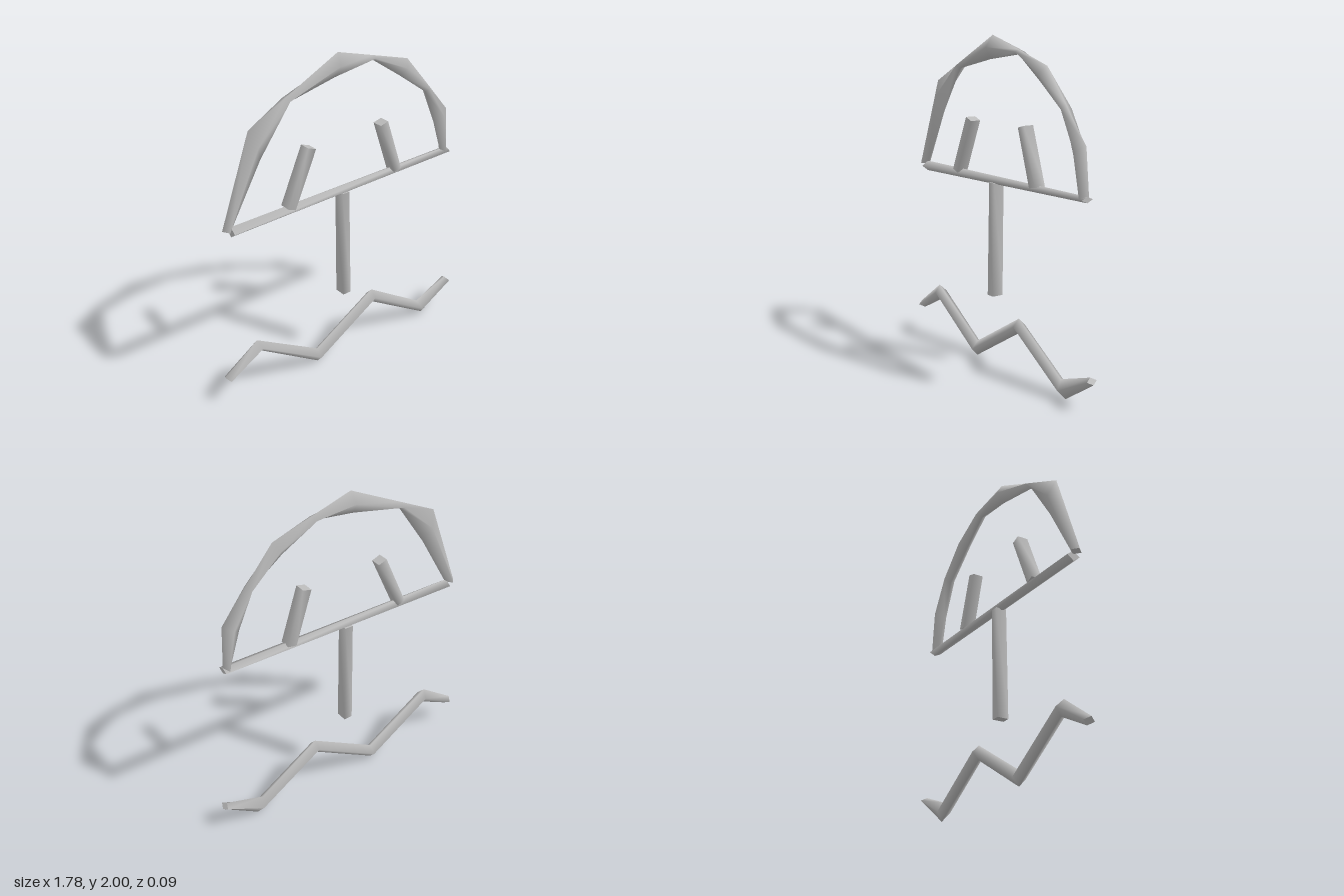
import * as THREE from 'three';

// Four-sided bar swept through stations [leftX, leftY, rightX, rightY, zFront, zBack],
// where left and right are seen along the direction of travel.
// box = false gives a diamond section, box = true a rectangular one.
function bar(stations, box = false) {
  const pos = [], index = [];
  const rings = stations.map(([ox, oy, ix, iy, zf = 0.043, zb = -zf]) => {
    const mx = (ox + ix) / 2, my = (oy + iy) / 2;
    return box
      ? [[ox, oy, zf], [ix, iy, zf], [ix, iy, zb], [ox, oy, zb]]
      : [[ox, oy, 0], [mx, my, zf], [ix, iy, 0], [mx, my, zb]];
  });
  rings.forEach(r => r.forEach(p => pos.push(...p)));
  for (let i = 0; i < rings.length - 1; i++) {
    for (let j = 0; j < 4; j++) {
      const a = i * 4 + j, b = i * 4 + (j + 1) % 4;
      index.push(a, b, a + 4, b, b + 4, a + 4);
    }
  }
  // separate corners keep the end caps flat
  const s = pos.length / 3, e = s + 4;
  [rings[0], rings[rings.length - 1]].forEach(r => r.forEach(p => pos.push(...p)));
  index.push(s, s + 2, s + 1, s, s + 3, s + 2, e, e + 1, e + 2, e, e + 2, e + 3);
  const g = new THREE.BufferGeometry();
  g.setAttribute('position', new THREE.Float32BufferAttribute(pos, 3));
  g.setIndex(index);
  g.computeVertexNormals();
  return g;
}

export function createModel() {
  const group = new THREE.Group();
  const grey = new THREE.MeshStandardMaterial({ color: 0xbbbbbb, side: THREE.DoubleSide });
  grey.name = 'grey';
  const add = (name, geometry) => {
    const mesh = new THREE.Mesh(geometry, grey);
    mesh.name = name;
    group.add(mesh);
  };

  // dome arch: thick at the bends, pinched between them
  add('domeArch', bar([
    [-0.845, 1.16, -0.785, 1.15, 0.035],
    [-0.65, 1.70, -0.58, 1.51],
    [-0.40, 1.825, -0.39, 1.79, 0.032, -0.043],
    [-0.05, 2.0, -0.07, 1.86],
    [0.20, 1.927, 0.20, 1.898, 0.025, -0.043],
    [0.46, 1.85, 0.40, 1.76],
    [0.625, 1.655, 0.612, 1.605, 0.032, -0.043],
    [0.795, 1.45, 0.69, 1.39],
    [0.81, 1.16, 0.755, 1.185, 0.035],
  ]));

  // cross bar under the dome
  add('crossBar', bar([
    [-0.79, 1.17, -0.79, 1.107, 0.04],
    [0.81, 1.187, 0.81, 1.152, 0.038],
  ]));

  // upright dashes inside the dome
  add('rightDash', bar([
    [-0.43, 1.17, -0.38, 1.15, 0.035],
    [-0.285, 1.505, -0.23, 1.485, 0.033],
  ], true));
  add('leftDash', bar([
    [0.35, 1.165, 0.405, 1.175, 0.035],
    [0.24, 1.495, 0.295, 1.51, 0.033],
  ], true));

  // stem
  add('stem', bar([
    [-0.045, 0.45, 0.01, 0.45, 0.043, -0.028],
    [-0.043, 1.14, 0.008, 1.14, 0.032, -0.036],
  ], true));

  // zigzag base line
  add('zigzagBase', bar([
    [-0.89, 0.195, -0.85, 0.158, 0.035],
    [-0.66, 0.36, -0.63, 0.272],
    [-0.22, 0.098, -0.22, 0.005],
    [0.215, 0.36, 0.215, 0.27],
    [0.61, 0.11, 0.655, 0.005],
    [0.86, 0.20, 0.89, 0.165, 0.035],
  ]));

  return group;
}
